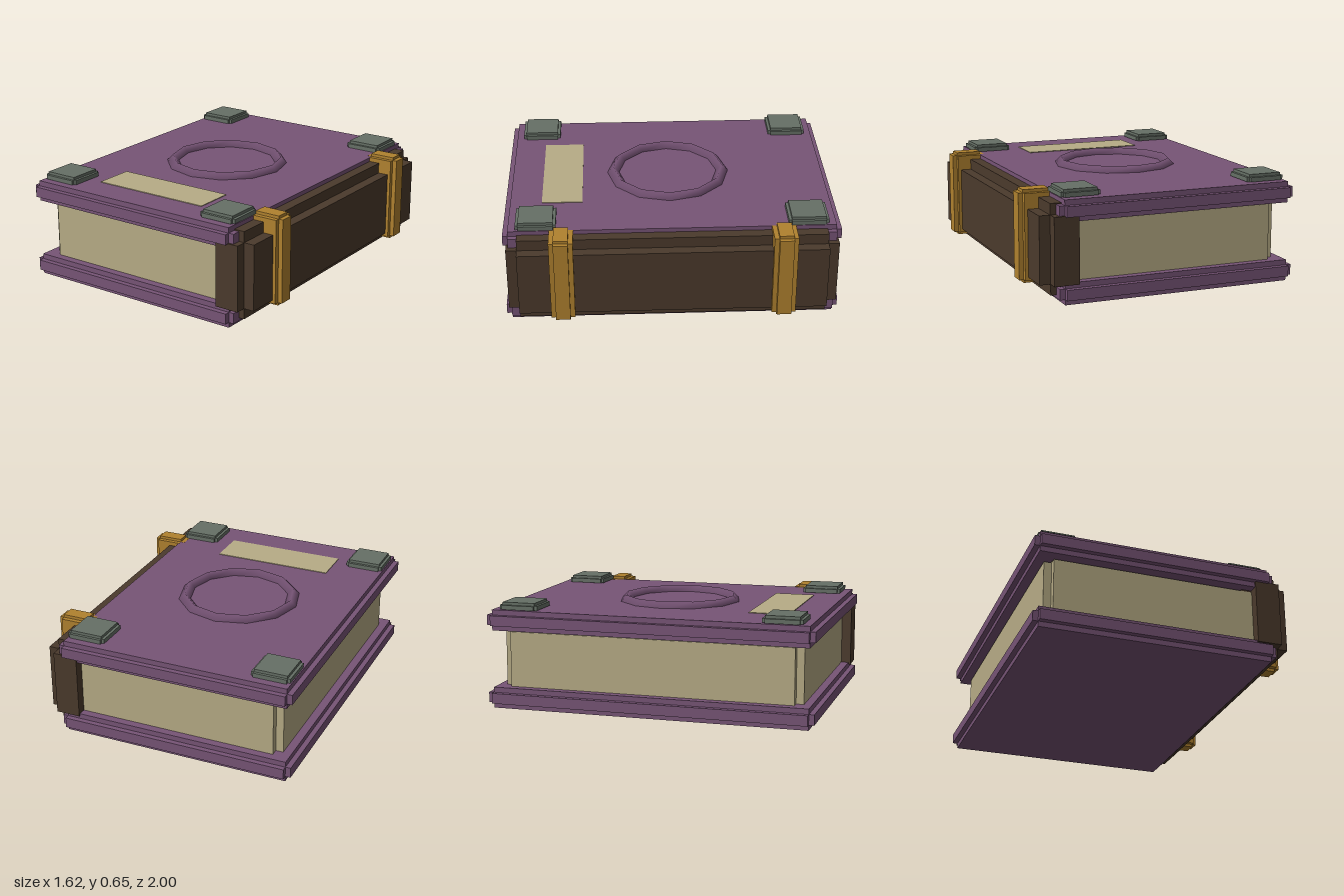
import * as THREE from 'three';

const mat = (name, color) => {
  const m = new THREE.MeshStandardMaterial({ color });
  m.name = name;
  return m;
};

export function createModel() {
  const root = new THREE.Group();
  root.name = 'book';
  const purple = mat('purple leather', 0x775476);
  const paper = mat('paper', 0xb7ac86);
  const brown = mat('brown leather', 0x4b3a2c);
  const grey = mat('grey metal', 0x667066);
  const gold = mat('gold metal', 0xb1822f);

  // Box with square notches along every edge: three boxes, each full length on one axis
  function notchedBox(name, material, min, max, notch) {
    const group = new THREE.Group();
    group.name = name;
    for (let axis = 0; axis < 3; axis++) {
      const lo = min.map((v, i) => (i === axis ? v : v + notch[i]));
      const hi = max.map((v, i) => (i === axis ? v : v - notch[i]));
      const mesh = new THREE.Mesh(
        new THREE.BoxGeometry(hi[0] - lo[0], hi[1] - lo[1], hi[2] - lo[2]), material);
      mesh.position.set((lo[0] + hi[0]) / 2, (lo[1] + hi[1]) / 2, (lo[2] + hi[2]) / 2);
      mesh.name = name;
      group.add(mesh);
    }
    root.add(group);
  }

  // Covers, page block and spine
  const edge = [0.032, 0.032, 0.032];
  notchedBox('bottomCover', purple, [-0.81, 0, -1], [0.66, 0.127, 1], edge);
  notchedBox('topCover', purple, [-0.81, 0.476, -1], [0.66, 0.602, 1], edge);
  notchedBox('pages', paper, [-0.727, 0.08, -0.92], [0.6, 0.51, 0.92], [0.046, 0.046, 0.046]);
  notchedBox('spine', brown, [0.48, 0.05, -0.98], [0.76, 0.577, 0.98], [0.065, 0.065, 0.065]);

  // Metal corner plates and spine bands, mirrored front to back
  for (const s of [-1, 1]) {
    for (const x of [-0.655, 0.51]) {
      notchedBox('cornerPlate', grey,
        [x - 0.118, 0.588, s * 0.805 - 0.119], [x + 0.118, 0.648, s * 0.805 + 0.119],
        [0.017, 0.017, 0.017]);
    }
    notchedBox('spineBand', gold,
      [0.597, 0.077, s * 0.655 - 0.071], [0.806, 0.621, s * 0.655 + 0.071],
      [0.027, 0.018, 0.028]);
  }

  // Raised ring on the top cover
  const ring = new THREE.Mesh(new THREE.TorusGeometry(0.342, 0.039, 4, 12), purple);
  ring.name = 'coverRing';
  ring.rotation.x = -Math.PI / 2;
  ring.position.set(-0.075, 0.6, 0);
  root.add(ring);

  // Blank label
  const label = new THREE.Mesh(new THREE.BoxGeometry(0.755, 0.008, 0.245), paper);
  label.name = 'label';
  label.position.set(-0.077, 0.602, 0.655);
  root.add(label);

  return root;
}
